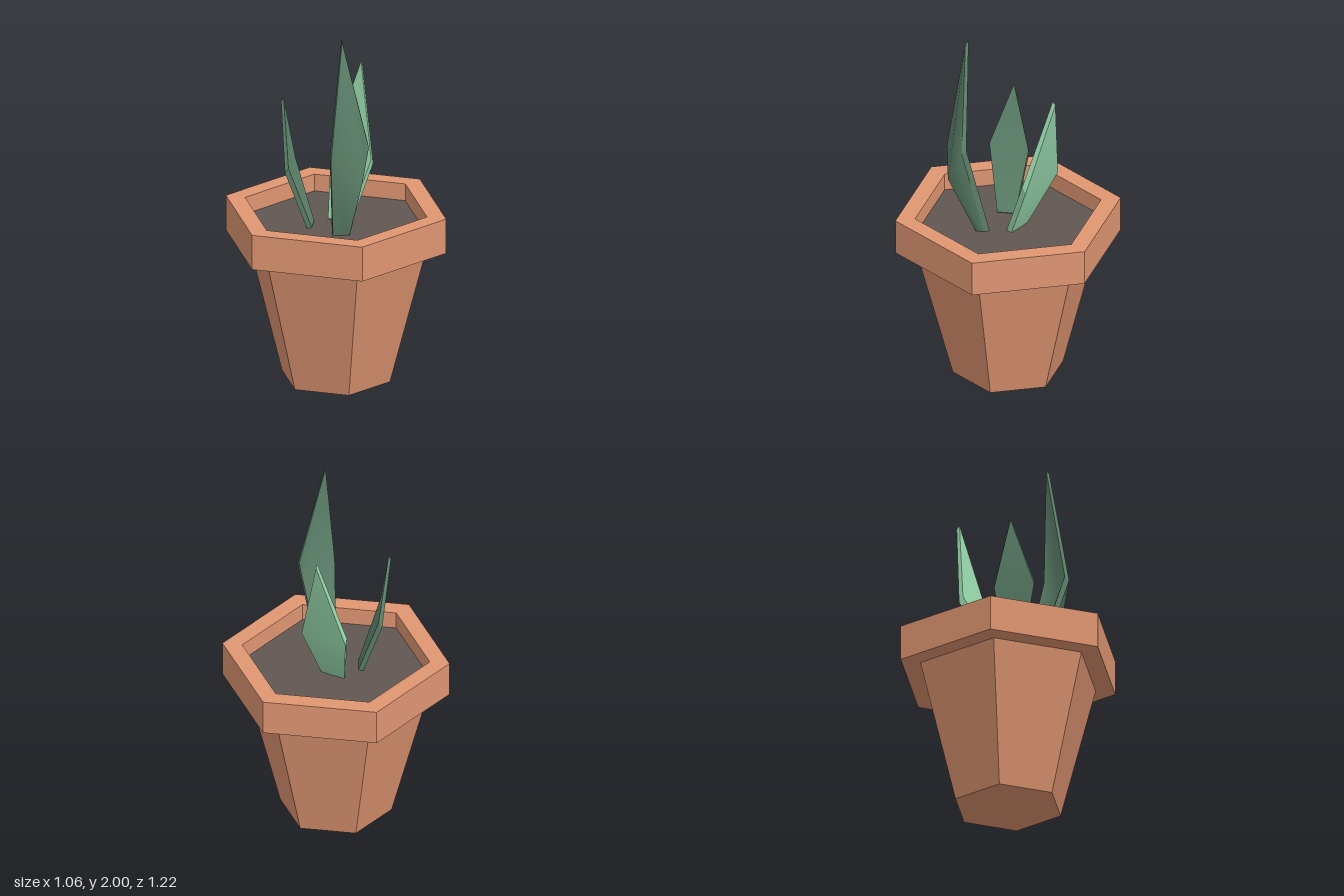
import * as THREE from 'three';

function flatColour(name, color) {
  const material = new THREE.MeshStandardMaterial({ color });
  material.name = name;
  return material;
}

const terracotta = flatColour('terracotta', 0xe09672);
const earth = flatColour('earth', 0x625752);
const lightGreen = flatColour('lightGreen', 0x96d6ab);
const darkGreen = flatColour('darkGreen', 0x5f866e);

function addMesh(group, name, geometry, material) {
  const mesh = new THREE.Mesh(geometry, material);
  mesh.name = name;
  group.add(mesh);
}

// Each sheet row runs left, middle, right as seen from the pot's centre.
const SHEET = [[0, 1, 4], [0, 4, 3], [1, 2, 5], [1, 5, 4], [3, 4, 6], [4, 5, 6]];
const BORDER = [0, 1, 2, 5, 6, 3];

// A thin, pointed leaf: an inner sheet, an outer sheet shifted by `offset`, and a border strip
function leafGeometry({ base, mid, tip, offset }) {
  const inner = [...base, ...mid, tip].map((p) => new THREE.Vector3(...p));
  const shift = new THREE.Vector3(...offset);
  const outer = inner.map((p, i) => p.clone().addScaledVector(shift, i === 6 ? 0.7 : 1));
  const points = [...inner, ...outer];
  const index = [];
  for (const [a, b, c] of SHEET) index.push(a, b, c, a + 7, c + 7, b + 7);
  // border strip with its own corners, so its edges stay sharp
  BORDER.forEach((a, i) => {
    const b = BORDER[(i + 1) % BORDER.length];
    const n = points.length;
    points.push(inner[b], inner[a], outer[a], outer[b]);
    index.push(n, n + 1, n + 2, n, n + 2, n + 3);
  });
  const geometry = new THREE.BufferGeometry().setFromPoints(points);
  geometry.setIndex(index);
  geometry.computeVertexNormals();
  return geometry;
}

const LEAVES = {
  frontLeaf: {
    material: darkGreen,
    base: [[0.045, 0.87, 0.11], [0.03, 0.87, 0.15], [-0.055, 0.87, 0.14]],
    mid: [[0.115, 1.41, 0.25], [0.065, 1.24, 0.315], [-0.1, 1.36, 0.285]],
    tip: [-0.02, 2, 0.21],
    offset: [0, -0.02, 0.025],
  },
  backLeftLeaf: {
    material: lightGreen,
    base: [[-0.025, 0.87, -0.08], [0.02, 0.87, -0.03], [0.06, 0.87, 0.02]],
    mid: [[0.03, 1.21, -0.245], [0.12, 1.205, -0.14], [0.2, 1.2, -0.035]],
    tip: [0.185, 1.7, -0.205],
    offset: [0.015, -0.03, -0.017],
  },
  rightLeaf: {
    material: darkGreen,
    base: [[-0.14, 0.87, 0.03], [-0.122, 0.87, -0.015], [-0.105, 0.87, -0.06]],
    mid: [[-0.27, 1.22, 0.045], [-0.228, 1.21, -0.052], [-0.185, 1.2, -0.15]],
    tip: [-0.265, 1.57, -0.088],
    offset: [-0.018, -0.025, -0.008],
  },
};

export function createModel() {
  const model = new THREE.Group();
  model.name = 'pottedPlant';

  // six-sided pot with a projecting rim and a hollow top
  const profile = [
    [0, 0], [0.3, 0], [0.5, 0.765], [0.612, 0.765], [0.612, 0.96], [0.505, 0.96], [0.505, 0.86],
  ].map(([r, y]) => new THREE.Vector2(r, y));
  const pot = new THREE.LatheGeometry(profile, 6).toNonIndexed();
  pot.computeVertexNormals();
  addMesh(model, 'pot', pot, terracotta);

  // soil filling the pot below the rim
  const soil = new THREE.CircleGeometry(0.506, 6, Math.PI / 2);
  soil.rotateX(-Math.PI / 2).translate(0, 0.865, 0);
  addMesh(model, 'soil', soil, earth);

  // leaves
  for (const [name, leaf] of Object.entries(LEAVES)) {
    addMesh(model, name, leafGeometry(leaf), leaf.material);
  }
  return model;
}
